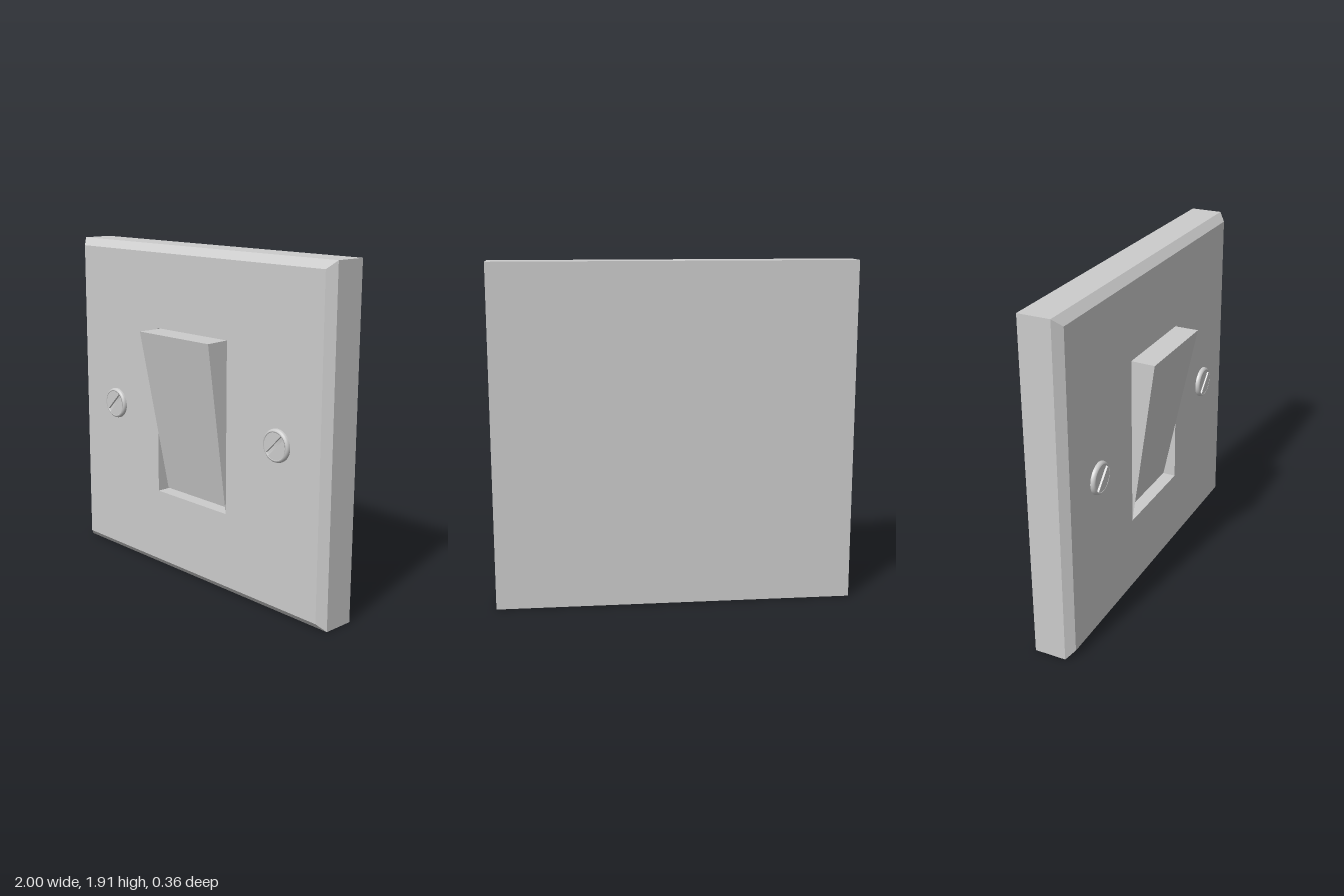
import * as THREE from 'three';

const material = new THREE.MeshStandardMaterial({ color: 0xcccccc, flatShading: true });
const smooth = new THREE.MeshStandardMaterial({ color: 0xcccccc });
const CY = 0.955, FRONT = 0.042;

function part(name, geometry, mat = material) {
  const mesh = new THREE.Mesh(geometry, mat);
  mesh.name = name;
  return mesh;
}

// Four corners of a rectangle at depth z, counter-clockwise from the front
const loop = (w, h, z) => [[-w, CY - h, z], [w, CY - h, z], [w, CY + h, z], [-w, CY + h, z]];

// Joins successive rectangular loops with flat quads
function loft(loops) {
  const pos = [];
  for (let i = 0; i + 1 < loops.length; i++) {
    for (let j = 0; j < 4; j++) {
      const k = (j + 1) % 4;
      const a = loops[i][j], b = loops[i][k], c = loops[i + 1][k], d = loops[i + 1][j];
      pos.push(...a, ...b, ...c, ...a, ...c, ...d);
    }
  }
  const g = new THREE.BufferGeometry();
  g.setAttribute('position', new THREE.Float32BufferAttribute(pos, 3));
  g.computeVertexNormals();
  return g;
}

function makeScrew(x) {
  const screw = new THREE.Group();
  screw.name = 'screw';
  // Round rim with a sunken floor
  const profile = [[0.09, 0], [0.09, 0.012], [0.087, 0.02], [0.08, 0.026], [0.074, 0.026], [0.074, 0.012], [0, 0.012]]
    .map(([r, z]) => new THREE.Vector2(r, z));
  const rim = new THREE.LatheGeometry(profile, 32);
  rim.rotateX(Math.PI / 2);
  screw.add(part('screwRim', rim, smooth));
  // Two half discs leave the diagonal slot between them
  const r = 0.074, a = Math.asin(0.012 / r);
  for (const turn of [0, Math.PI]) {
    const half = new THREE.Shape().absarc(0, 0, r, a, Math.PI - a, false);
    const g = new THREE.ExtrudeGeometry(half, { depth: 0.014, bevelEnabled: false, curveSegments: 16 });
    g.translate(0, 0, 0.012);
    g.rotateZ(Math.PI / 4 + turn);
    screw.add(part('screwHalf', g));
  }
  screw.position.set(x, 0.94, FRONT - 0.003);
  return screw;
}

export function createModel() {
  const group = new THREE.Group();
  group.name = 'wallSwitch';

  // Plate: closed back, straight sides, chamfered front edge, rectangular opening
  group.add(part('plate', loft([
    loop(0, 0, -0.18), loop(1, CY, -0.18), loop(1, CY, 0), loop(0.957, CY - 0.043, FRONT),
    loop(0.285, 0.485, FRONT), loop(0.285, 0.485, -0.1), loop(0, 0, -0.1),
  ])));

  // Rocker: a box whose front slopes from a raised top into the opening
  const rocker = new THREE.BoxGeometry(0.56, 0.96, 0.1);
  const p = rocker.attributes.position;
  for (let i = 0; i < p.count; i++) {
    const top = p.getY(i) > 0;
    p.setZ(i, p.getZ(i) < 0 ? -0.1 : top ? 0.175 : -0.03);
  }
  rocker.translate(0, CY, 0);
  rocker.computeVertexNormals();
  group.add(part('rocker', rocker));

  // Thin side cheeks from the rocker's top edge to the foot of the opening
  for (const s of [1, -1]) {
    const top = [s * 0.285, 1.44, FRONT], foot = [s * 0.285, 0.47, FRONT], tip = [s * 0.281, 1.435, 0.175];
    const g = new THREE.BufferGeometry();
    const corners = s > 0 ? [top, tip, foot] : [top, foot, tip];
    g.setAttribute('position', new THREE.Float32BufferAttribute(corners.flat(), 3));
    g.computeVertexNormals();
    group.add(part(s > 0 ? 'leftCheek' : 'rightCheek', g));
  }

  for (const x of [-0.665, 0.665]) group.add(makeScrew(x));
  return group;
}
